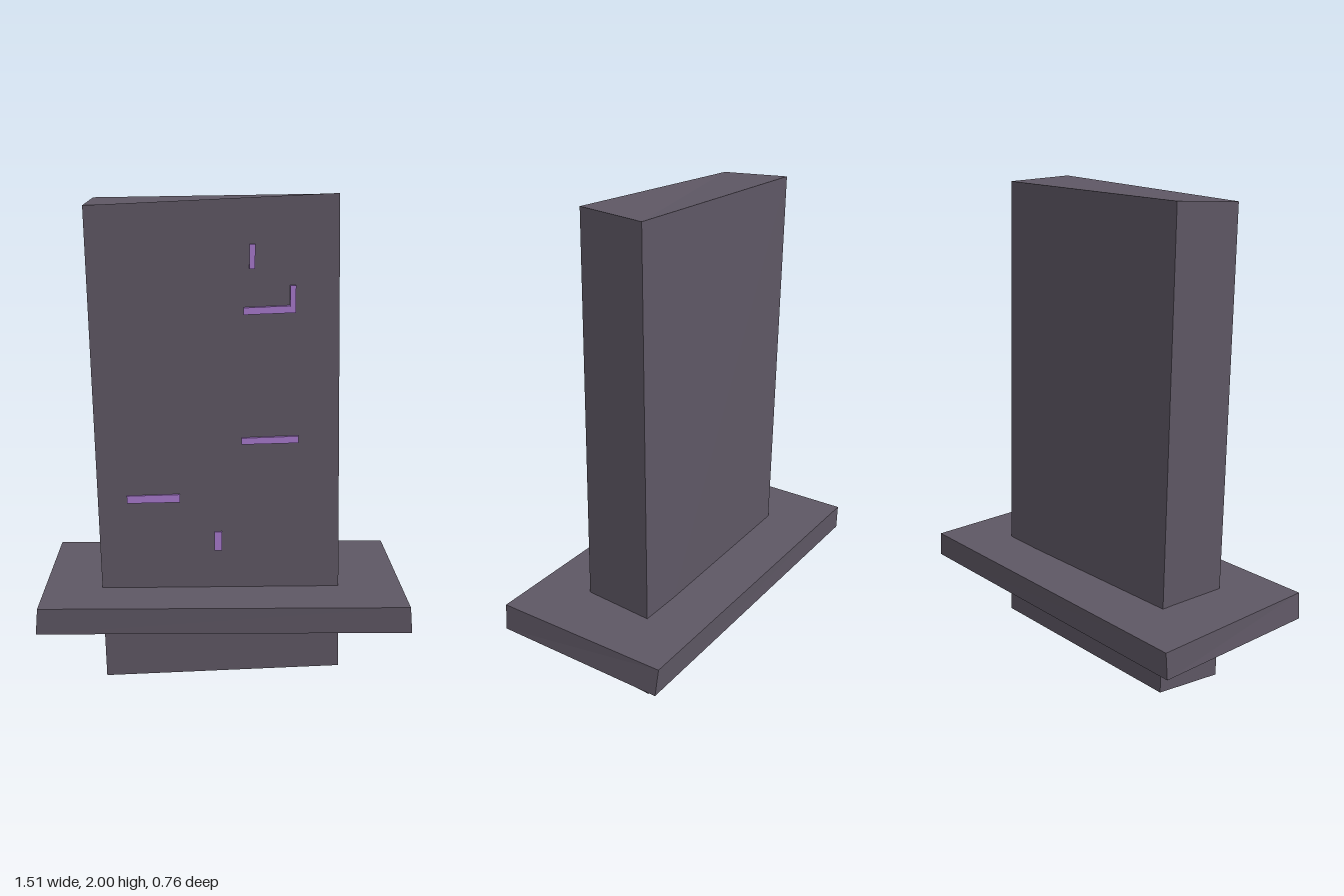
import * as THREE from 'three';

const stone = new THREE.MeshStandardMaterial({ color: 0x5e5764 });
stone.name = 'dark stone';
const glow = new THREE.MeshStandardMaterial({ color: 0xa678cc });
glow.name = 'violet rune';

// Six-sided block from a bottom and a top ring of corners,
// each ordered back left, back right, front right, front left.
function block(name, material, bottom, top) {
  const p = [...bottom, ...top];
  const quads = [[3, 2, 6, 7], [2, 1, 5, 6], [1, 0, 4, 5], [0, 3, 7, 4], [7, 6, 5, 4], [0, 1, 2, 3]];
  const pos = [];
  for (const [a, b, c, d] of quads) for (const i of [a, b, c, a, c, d]) pos.push(...p[i]);
  const geometry = new THREE.BufferGeometry();
  geometry.setAttribute('position', new THREE.Float32BufferAttribute(pos, 3));
  geometry.computeVertexNormals();
  const mesh = new THREE.Mesh(geometry, material);
  mesh.name = name;
  return mesh;
}

// Raised bar on the front: left and right ends as [x, low y, high y]
function rune(name, [x0, lo0, hi0], [x1, lo1, hi1], front) {
  const back = 0.14;
  return block(name, glow,
    [[x0, lo0, back], [x1, lo1, back], [x1, lo1, front], [x0, lo0, front]],
    [[x0, hi0, back], [x1, hi1, back], [x1, hi1, front], [x0, hi0, front]]);
}

export function createModel() {
  const model = new THREE.Group();
  model.name = 'runeStone';

  // Leaning upright slab, running down through the collar
  model.add(block('slab', stone,
    [[-0.48, 0.025, -0.14], [0.505, 0.035, -0.16], [0.483, 0.035, 0.152], [-0.5, 0, 0.163]],
    [[-0.53, 1.973, -0.145], [0.455, 1.988, -0.132], [0.437, 2, 0.152], [-0.54, 1.955, 0.16]]));

  // Wide flat collar
  model.add(block('collar', stone,
    [[-0.752, 0.29, -0.37], [0.753, 0.29, -0.375], [0.748, 0.29, 0.376], [-0.757, 0.29, 0.373]],
    [[-0.747, 0.4, -0.374], [0.735, 0.4, -0.38], [0.738, 0.4, 0.378], [-0.747, 0.4, 0.376]]));

  // Carved rune strokes
  const runes = new THREE.Group();
  runes.name = 'runes';
  runes.add(
    rune('topStroke', [0.094, 1.717, 1.81], [0.116, 1.717, 1.81], 0.175),
    rune('cornerFoot', [0.073, 1.54, 1.567], [0.275, 1.548, 1.576], 0.174),
    rune('cornerStem', [0.253, 1.56, 1.653], [0.275, 1.56, 1.653], 0.175),
    rune('middleStroke', [0.067, 1.017, 1.043], [0.296, 1.023, 1.051], 0.168),
    rune('leftStroke', [-0.398, 0.77, 0.801], [-0.182, 0.774, 0.807], 0.168),
    rune('lowStroke', [-0.043, 0.565, 0.645], [-0.012, 0.565, 0.645], 0.168));
  model.add(runes);
  return model;
}
